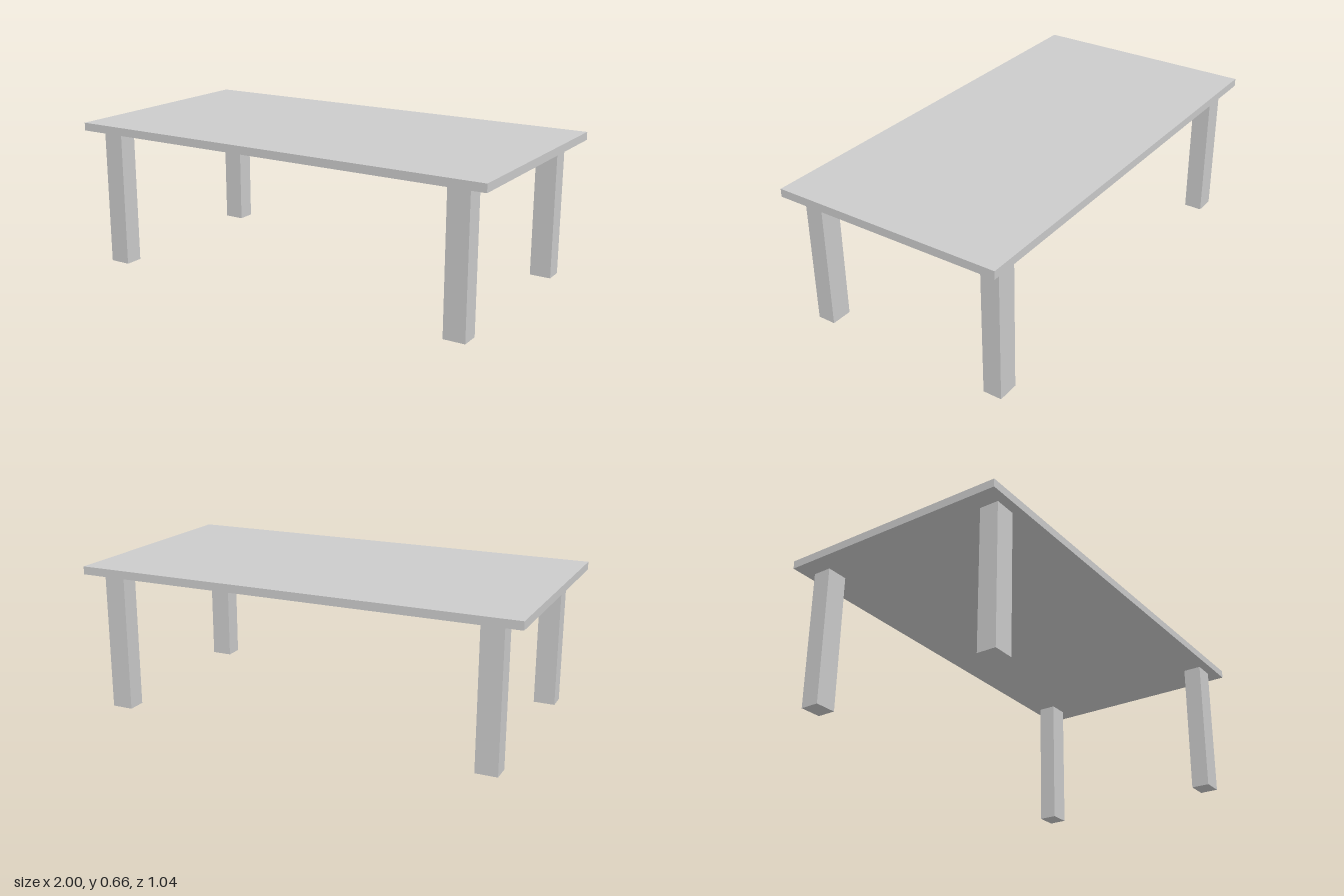
import * as THREE from 'three';

export function createModel() {
  const table = new THREE.Group();
  table.name = 'table';
  const material = new THREE.MeshStandardMaterial({ color: 0xcccccc });

  const topHeight = 0.659;
  const topThickness = 0.036;
  const legHeight = topHeight - topThickness;

  function addBox(name, width, height, depth, x, y, z) {
    const mesh = new THREE.Mesh(new THREE.BoxGeometry(width, height, depth), material);
    mesh.name = name;
    mesh.position.set(x, y, z);
    table.add(mesh);
  }

  // Thin rectangular top
  addBox('tableTop', 2, topThickness, 1.043, 0, topHeight - topThickness / 2, 0);

  // Four straight legs, set in from the corners
  for (const [zName, zSide] of [['front', 1], ['back', -1]]) {
    for (const [xName, xSide] of [['Left', 1], ['Right', -1]]) {
      addBox(`${zName}${xName}Leg`, 0.097, legHeight, 0.084,
        xSide * 0.868, legHeight / 2, zSide * 0.437);
    }
  }

  return table;
}
